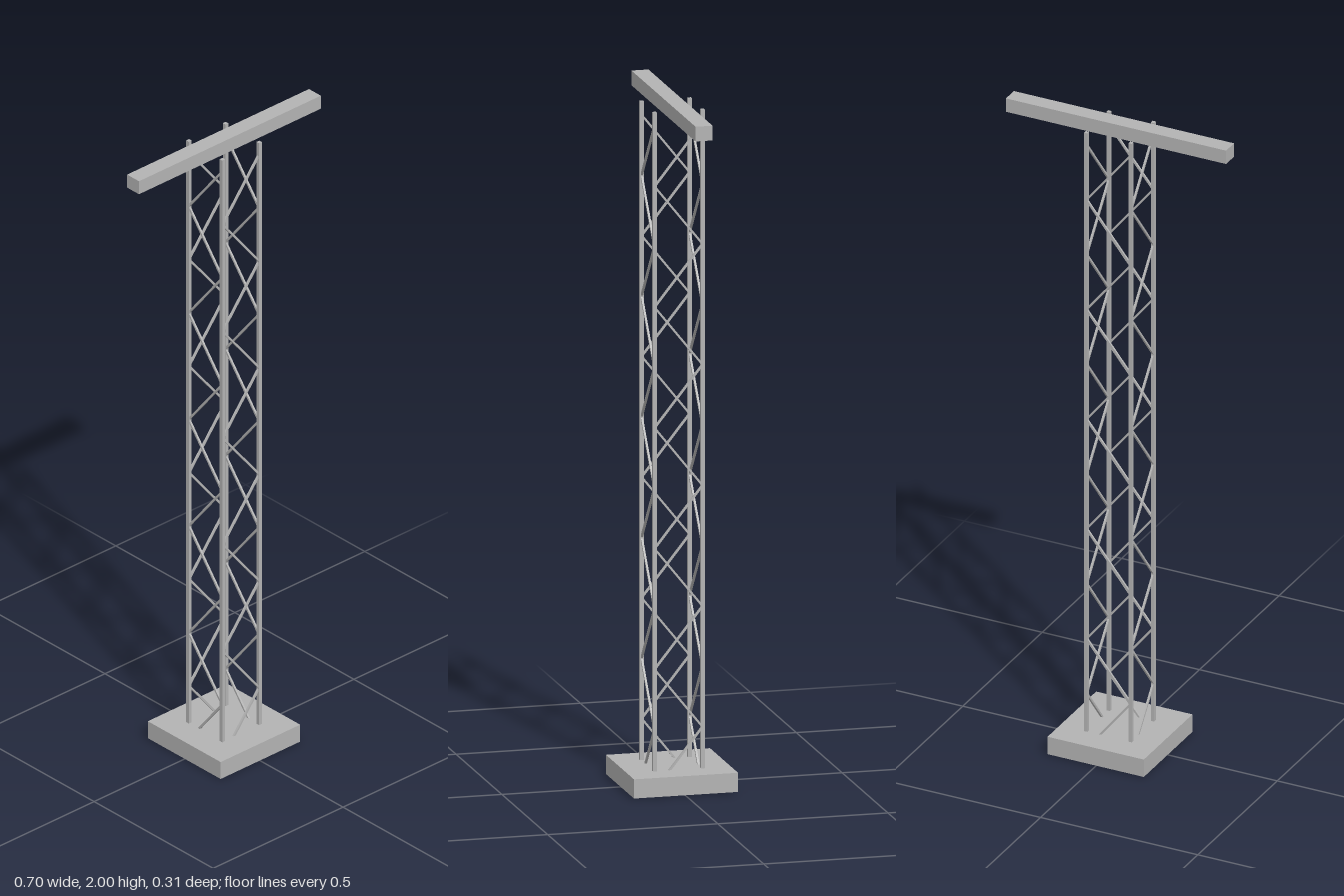
import * as THREE from 'three';

const HALF = 0.0705;      // leg centre distance from the axis
const BAYS = 11;
const BAY_HEIGHT = 0.1763;

export function createModel() {
  const group = new THREE.Group();
  const steel = new THREE.MeshStandardMaterial({ color: 0xb3b3b3 });
  steel.name = 'grey steel';

  const box = (name, w, h, d, x, y, z) => {
    const mesh = new THREE.Mesh(new THREE.BoxGeometry(w, h, d), steel);
    mesh.name = name;
    mesh.position.set(x, y, z);
    group.add(mesh);
    return mesh;
  };

  // Foundation slab and top crossarm
  box('basePlate', 0.306, 0.056, 0.306, 0, 0.028, 0);
  box('crossarm', 0.7, 0.043, 0.05, 0, 1.9785, 0);

  // Four square corner legs
  const corners = [[1, 1], [1, -1], [-1, -1], [-1, 1]];
  for (const [sx, sz] of corners) {
    box('leg', 0.011, 1.98, 0.011, sx * HALF, 0.99, sz * HALF);
  }

  // Zigzag lacing: one diagonal per bay on each of the four sides
  const length = Math.hypot(2 * HALF, BAY_HEIGHT);
  const tilt = Math.atan2(BAY_HEIGHT, 2 * HALF);
  for (let side = 0; side < 4; side++) {
    const face = new THREE.Group();
    face.name = 'lacingSide';
    face.rotation.y = side * Math.PI / 2;
    for (let i = 0; i < BAYS; i++) {
      const brace = box('diagonalBrace', length, 0.006, 0.006, 0, (i + 0.5) * BAY_HEIGHT, HALF);
      brace.rotation.z = i % 2 === 0 ? tilt : -tilt;
      face.add(brace);
    }
    group.add(face);
  }
  return group;
}
